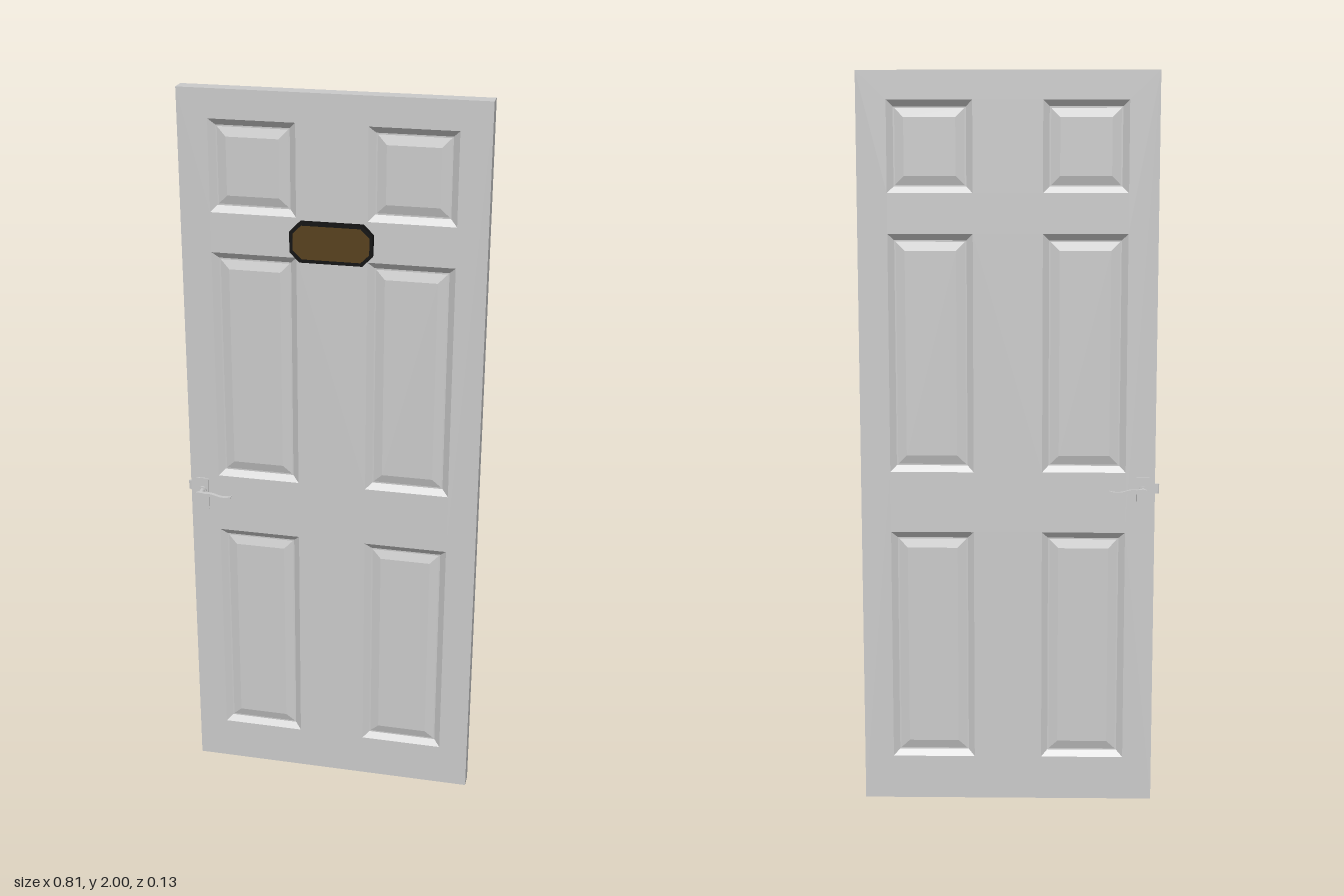
import * as THREE from 'three';

const grey = () => new THREE.MeshStandardMaterial({ color: 0xcccccc });

function addMesh(parent, name, geometry, material, x = 0, y = 0, z = 0) {
  const mesh = new THREE.Mesh(geometry, material);
  mesh.name = name;
  mesh.position.set(x, y, z);
  parent.add(mesh);
  return mesh;
}

// Joins rectangular rings, each given as [inset, z]; optionally closes the last ring
function rectLoft([x0, x1, y0, y1], profile, cap) {
  const rings = profile.map(([d, z]) => [
    [x0 + d, y0 + d, z], [x1 - d, y0 + d, z], [x1 - d, y1 - d, z], [x0 + d, y1 - d, z],
  ]);
  const pos = [];
  const quad = (a, b, c, d) => pos.push(...a, ...b, ...c, ...a, ...c, ...d);
  for (let r = 0; r + 1 < rings.length; r++) {
    for (let i = 0; i < 4; i++) {
      const j = (i + 1) % 4;
      quad(rings[r][i], rings[r][j], rings[r + 1][j], rings[r + 1][i]);
    }
  }
  if (cap) quad(...rings[rings.length - 1]);
  const g = new THREE.BufferGeometry();
  g.setAttribute('position', new THREE.Float32BufferAttribute(pos, 3));
  g.computeVertexNormals();
  return g;
}

function polygon(points, PathType = THREE.Shape) {
  return new PathType(points.map(([x, y]) => new THREE.Vector2(x, y)));
}

// Rectangle with clipped corners
function clippedRect(w, h, c) {
  return [
    [-w + c, -h], [w - c, -h], [w, -h + c], [w, h - c],
    [w - c, h], [-w + c, h], [-w, h - c], [-w, -h + c],
  ];
}

const extrude = (shape, depth) =>
  new THREE.ExtrudeGeometry(shape, { depth, bevelEnabled: false, curveSegments: 10 });

const HALF_W = 0.4, HALF_T = 0.021, DOOR_X = 0.005, DOOR_Z = -0.001;

function makeDoor() {
  const door = new THREE.Group();
  door.name = 'door';
  door.position.set(DOOR_X, 0, DOOR_Z);
  const outer = [-HALF_W, HALF_W, 0, 2];
  addMesh(door, 'doorEdges', rectLoft(outer, [[0, -HALF_T], [0, HALF_T]], false), grey());

  // Six recessed panels in two columns
  const rows = [[0.122, 0.765], [0.932, 1.575], [1.682, 1.924]];
  const columns = [[-0.32, -0.093], [0.093, 0.32]];
  const panels = rows.flatMap(([y0, y1]) => columns.map(([x0, x1]) => [x0, x1, y0, y1]));

  // Sloping rim, groove and raised field
  const moulding = [
    [0, HALF_T], [0.017, HALF_T - 0.012], [0.021, HALF_T - 0.012],
    [0.045, HALF_T - 0.005],
  ];
  const rect = ([x0, x1, y0, y1]) => [[x0, y0], [x1, y0], [x1, y1], [x0, y1]];
  const faceShape = polygon(rect(outer));
  panels.forEach((p) => faceShape.holes.push(polygon(rect(p), THREE.Path)));

  for (const side of ['front', 'back']) {
    const face = new THREE.Group();
    face.name = side + 'Side';
    if (side === 'back') face.rotation.y = Math.PI;
    addMesh(face, side + 'Face', new THREE.ShapeGeometry(faceShape), grey(), 0, 0, HALF_T);
    panels.forEach((p) => addMesh(face, side + 'Panel', rectLoft(p, moulding, true), grey()));
    door.add(face);
  }
  return door;
}

// Wavy lever outline, starting at the spindle
function leverShape() {
  const s = new THREE.Shape();
  s.moveTo(-0.013, 0.003);
  s.bezierCurveTo(-0.006, 0.011, 0.006, 0.009, 0.018, 0.007);
  s.bezierCurveTo(0.045, 0.012, 0.055, -0.008, 0.092, 0.004);
  s.lineTo(0.09, -0.001);
  s.bezierCurveTo(0.055, -0.016, 0.045, 0.003, 0.018, -0.001);
  s.bezierCurveTo(0.006, -0.008, -0.006, -0.009, -0.013, -0.003);
  s.closePath();
  return s;
}

function makeHandle(side, name) {
  const handle = new THREE.Group();
  handle.name = name;
  handle.position.set(-0.362, 0.885, DOOR_Z);
  const at = (z) => side * z;

  // Backplate, collar, spindle and lever
  addMesh(handle, 'backplate', new THREE.BoxGeometry(0.035, 0.095, 0.005), grey(),
    0, -0.012, at(HALF_T + 0.0015));
  const collar = new THREE.CylinderGeometry(0.011, 0.011, 0.006, 20).rotateX(Math.PI / 2);
  addMesh(handle, 'collar', collar, grey(), 0, 0, at(HALF_T + 0.006));
  const spindle = new THREE.CylinderGeometry(0.007, 0.007, 0.036, 20).rotateX(Math.PI / 2);
  addMesh(handle, 'spindle', spindle, grey(), 0, 0, at(HALF_T + 0.018));
  const lever = extrude(leverShape(), 0.011).translate(0, 0, -0.0055);
  addMesh(handle, 'lever', lever, grey(), 0, 0, at(0.0575));
  return handle;
}

function makeLatch() {
  const latch = new THREE.Group();
  latch.name = 'latch';
  latch.position.set(-0.395, 0.885, DOOR_Z);
  addMesh(latch, 'latchPlate', new THREE.BoxGeometry(0.002, 0.07, 0.022), grey());
  // Bolt with a slanted nose
  const bolt = extrude(polygon([[0.004, -0.005], [0.004, 0.005], [-0.009, 0.005],
    [-0.013, 0.002], [-0.013, -0.001]]), 0.026);
  bolt.rotateX(-Math.PI / 2).translate(0, -0.013, 0);
  addMesh(latch, 'latchBolt', bolt, grey());
  return latch;
}

function makePlaque() {
  const plaque = new THREE.Group();
  plaque.name = 'plaque';
  plaque.position.set(0.006, 1.622, DOOR_Z + HALF_T);
  const black = new THREE.MeshStandardMaterial({ color: 0x111111 });
  const brown = new THREE.MeshStandardMaterial({ color: 0x58401c });
  const rim = polygon(clippedRect(0.108, 0.053, 0.026));
  rim.holes.push(polygon(clippedRect(0.1, 0.045, 0.023), THREE.Path));
  addMesh(plaque, 'plaqueFrame', extrude(rim, 0.018), black);
  addMesh(plaque, 'plaqueField',
    extrude(polygon(clippedRect(0.1, 0.045, 0.023)), 0.015), brown);
  return plaque;
}

export function createModel() {
  const model = new THREE.Group();
  model.name = 'panelledDoor';
  model.add(makeDoor(), makePlaque(), makeLatch(),
    makeHandle(1, 'frontHandle'), makeHandle(-1, 'backHandle'));
  return model;
}
